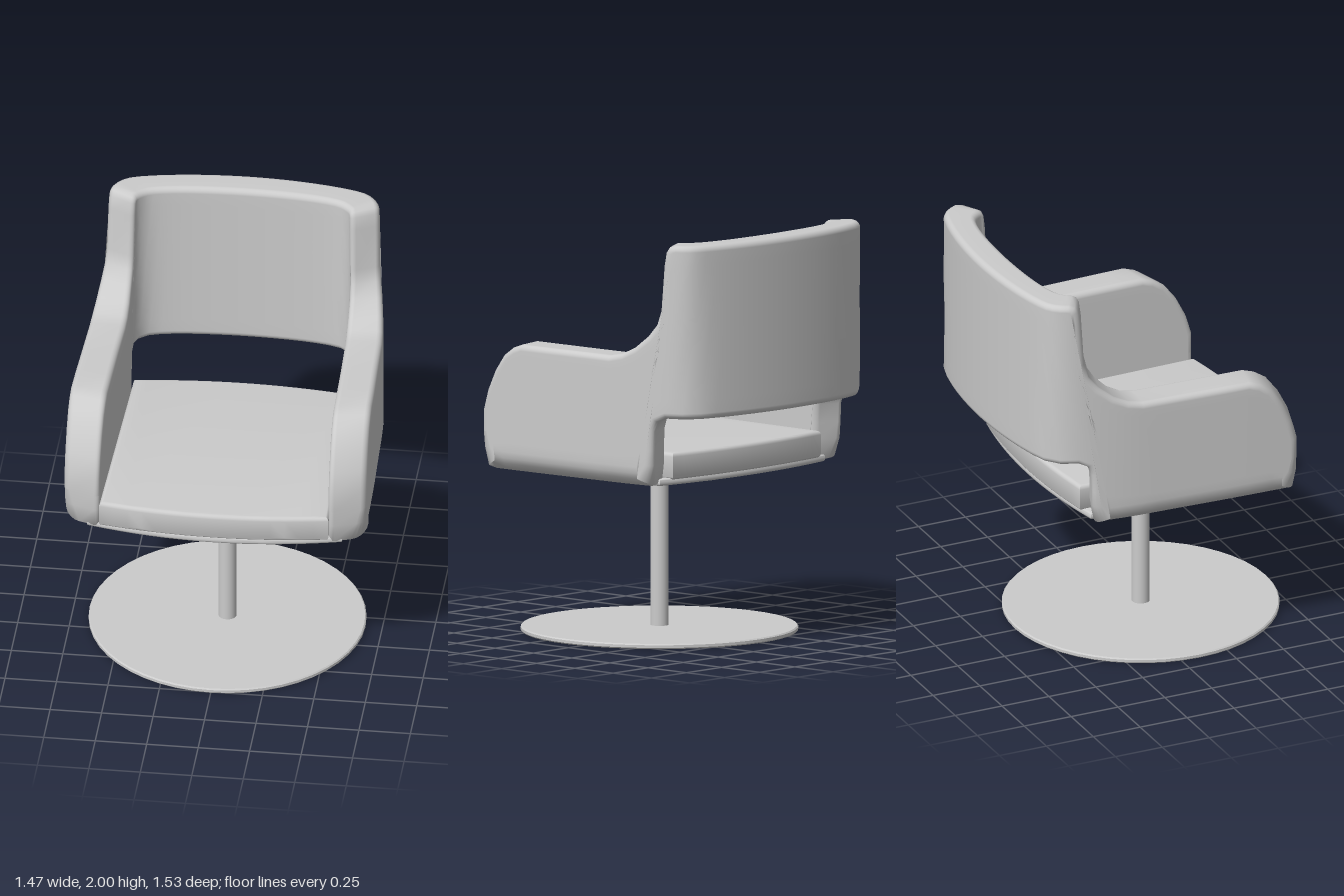
import * as THREE from 'three';
import { toCreasedNormals } from 'three/addons/utils/BufferGeometryUtils.js';

const material = new THREE.MeshStandardMaterial({ color: 0xcccccc, roughness: 0.8 });

function part(name, geometry) {
  const mesh = new THREE.Mesh(geometry, material);
  mesh.name = name;
  return mesh;
}

// Plan of the wraparound shell, left front to back centre: inner x, z, outer x, z
const PLAN = [
  [0.555, 0.64, 0.735, 0.58], [0.547, 0.3, 0.73, 0.27], [0.54, 0, 0.72, 0],
  [0.53, -0.3, 0.705, -0.32], [0.525, -0.48, 0.665, -0.55], [0.49, -0.545, 0.61, -0.66],
  [0.42, -0.58, 0.5, -0.71], [0.25, -0.605, 0.27, -0.75], [0, -0.615, 0, -0.765],
];

// Unrolled outline: top edge and bottom edge as [distance along the plan, height],
// then the outer bottom edge radius
const OUTLINE = [
  [0, 1.0, 0, 1.0, 0.03], [0, 1.1, 0, 0.92, 0.05], [0.03, 1.2, 0.015, 0.825, 0.08],
  [0.08, 1.3, 0.06, 0.81, 0.1], [0.14, 1.38, 0.14, 0.81, 0.1], [0.2, 1.42, 0.2, 0.81, 0.1],
  [0.26, 1.44, 0.27, 0.81, 0.1], [0.4, 1.44, 0.4, 0.81, 0.1], [0.6, 1.44, 0.6, 0.81, 0.1],
  [0.83, 1.44, 0.76, 0.81, 0.1], [0.9, 1.455, 0.82, 0.81, 0.1], [0.97, 1.49, 0.87, 0.81, 0.1],
  [1.04, 1.55, 0.92, 0.81, 0.1], [1.085, 1.61, 0.96, 0.81, 0.1], [1.105, 1.68, 0.99, 0.81, 0.1],
  [1.12, 1.9, 1.02, 0.81, 0.1], [1.13, 1.965, 1.055, 0.825, 0.07], [1.145, 1.99, 1.07, 0.92, 0.04],
  [1.17, 2, 1.07, 1.0, 0.03], [1.2, 2, 1.075, 1.09, 0.03], [1.23, 2, 1.09, 1.135, 0.03],
  [1.26, 2, 1.13, 1.155, 0.03], [1.3, 2, 1.2, 1.155, 0.03],
];

function shellGeometry() {
  const full = [...PLAN, ...PLAN.slice(0, -1).reverse().map(([a, b, c, d]) => [-a, b, -c, d])];
  const curve = (f) => new THREE.CatmullRomCurve3(
    full.map((p) => new THREE.Vector3(...f(p))), false, 'catmullrom', 0.5);
  const inner = curve((p) => [p[0], 0, p[1]]);
  const outer = curve((p) => [p[2], 0, p[3]]);
  const middle = curve((p) => [(p[0] + p[2]) / 2, 0, (p[1] + p[3]) / 2]);
  const length = middle.getLength();

  // Continue the backrest evenly to its centre
  const rows = OUTLINE.slice();
  for (let i = 1; i <= 8; i++) {
    const k = i / 8;
    rows.push([1.3 + (length / 2 - 1.3) * k, 2, 1.2 + (length / 2 - 1.2) * k, 1.155, 0.03]);
  }
  const edge = (i, o) => new THREE.Vector2(rows[i][o], rows[i][o + 1]);
  const normal = (i, o) => {
    const d = edge(Math.min(i + 1, rows.length - 1), o).sub(edge(Math.max(i - 1, 0), o)).normalize();
    return o === 0 ? new THREE.Vector2(-d.y, d.x) : new THREE.Vector2(d.y, -d.x);
  };

  // One rounded section: inner wall up, top rim, outer wall down, bottom rim
  const WALL = 12, ARC = 5, R = 0.03;
  function section(i) {
    const loop = [];
    const place = (p, depth, fromOuter) => {
      const t = middle.getUtoTmapping(THREE.MathUtils.clamp(p.x / length, 0, 1));
      const a = inner.getPoint(t), b = outer.getPoint(t);
      const f = depth / a.distanceTo(b);
      const v = a.lerp(b, fromOuter ? 1 - f : f);
      loop.push([i === rows.length - 1 ? 0 : v.x, p.y, v.z]);
    };
    const rim = (o, r, k) => {
      const a = (k / ARC) * Math.PI / 2;
      return [edge(i, o).addScaledVector(normal(i, o), -r * (1 - Math.sin(a))), r * (1 - Math.cos(a))];
    };
    const wall = (from, to, isOuter) => {
      for (let k = 1; k < WALL; k++) place(from.clone().lerp(to, k / WALL), 0, isOuter);
    };
    const rb = rows[i][4];
    wall(rim(2, R, 0)[0], rim(0, R, 0)[0], false);
    for (let k = 0; k <= ARC; k++) place(...rim(0, R, k), false);
    for (let k = ARC; k >= 0; k--) place(...rim(0, R, k), true);
    wall(rim(0, R, 0)[0], rim(2, rb, 0)[0], true);
    for (let k = 0; k <= ARC; k++) place(...rim(2, rb, k), true);
    for (let k = ARC; k >= 0; k--) place(...rim(2, R, k), false);
    return loop;
  }

  const half = rows.map((_, i) => section(i));
  const mirrored = half.slice(0, -1).reverse().map((s) => s.map(([x, y, z]) => [-x, y, z]));
  const sections = [...half, ...mirrored];
  const n = half[0].length, index = [];
  for (let i = 0; i < sections.length - 1; i++) {
    for (let j = 0; j < n; j++) {
      const k = (j + 1) % n;
      const a = i * n + j, d = i * n + k, b = a + n, c = d + n;
      index.push(a, d, c, a, c, b);
    }
  }
  const geometry = new THREE.BufferGeometry();
  geometry.setAttribute('position', new THREE.Float32BufferAttribute(sections.flat(2), 3));
  geometry.setIndex(index);
  geometry.computeVertexNormals();
  return geometry;
}

// Horizontal slab with bowed front and back edges and rounded rims
function bowedSlab(frontX, frontZ, frontMid, backX, backZ, backMid, y0, y1, bevel) {
  const shape = new THREE.Shape();
  shape.moveTo(-frontX, -frontZ);
  shape.quadraticCurveTo(0, -(2 * frontMid - frontZ), frontX, -frontZ);
  shape.lineTo(backX, -backZ);
  shape.quadraticCurveTo(0, -(2 * backMid - backZ), -backX, -backZ);
  shape.closePath();
  const geometry = new THREE.ExtrudeGeometry(shape, {
    depth: y1 - y0 - 2 * bevel, bevelThickness: bevel, bevelSize: bevel,
    bevelOffset: -bevel, bevelSegments: 4, curveSegments: 16,
  });
  geometry.rotateX(-Math.PI / 2).translate(0, y0 + bevel, 0);
  return toCreasedNormals(geometry, 0.6);
}

// Round disc with a small chamfer at both rims
function disc(radius, y0, y1) {
  const c = 0.006;
  const profile = [[0, y0], [radius - c, y0], [radius, y0 + c], [radius, y1 - c], [radius - c, y1], [0, y1]]
    .map(([x, y]) => new THREE.Vector2(x, y));
  return toCreasedNormals(new THREE.LatheGeometry(profile, 48), 0.5);
}

export function createModel() {
  const chair = new THREE.Group();
  chair.name = 'swivelArmchair';

  // Upholstered body
  chair.add(part('armAndBackShell', shellGeometry()));
  chair.add(part('seatBase', bowedSlab(0.62, 0.605, 0.685, 0.59, -0.45, -0.51, 0.811, 0.845, 0.012)));
  chair.add(part('seatCushion', bowedSlab(0.557, 0.64, 0.69, 0.527, -0.48, -0.52, 0.838, 0.97, 0.02)));

  // Pedestal
  const pedestal = new THREE.Group();
  pedestal.name = 'pedestal';
  pedestal.position.z = 0.093;
  const post = part('post', new THREE.CylinderGeometry(0.044, 0.044, 0.755, 32));
  post.position.y = 0.3975;
  pedestal.add(part('floorPlate', disc(0.67, 0, 0.025)), post, part('mountingPlate', disc(0.38, 0.767, 0.79)));
  chair.add(pedestal);
  return chair;
}
